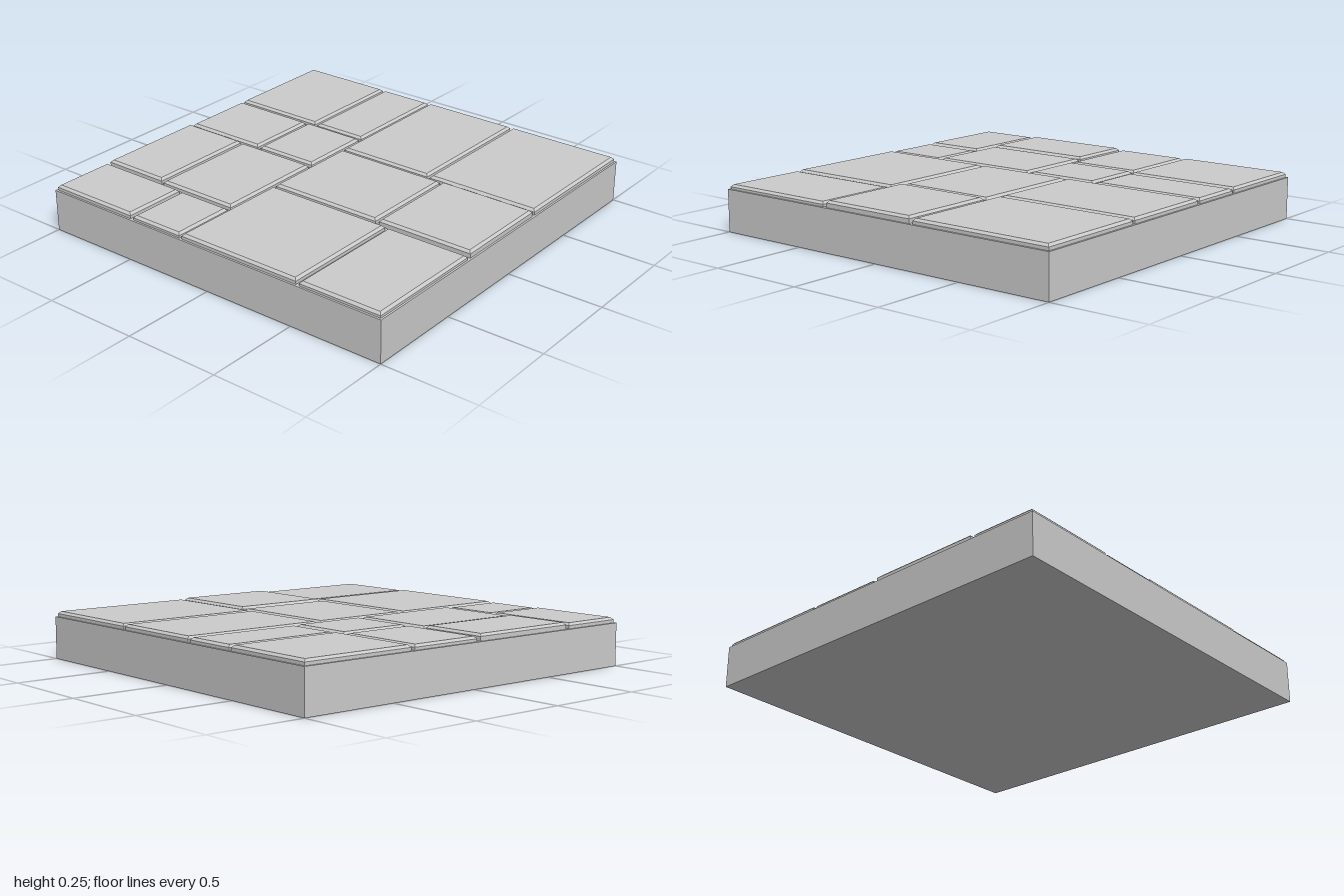
import * as THREE from 'three';

const SLAB_TOP = 0.217;
const CHAMFER = 0.012;

// Box whose upper rim is cut back by a flat chamfer
function chamferedTile(w, h, d) {
  const box = new THREE.BoxGeometry(w, h, d, 1, 2, 1);
  const p = box.attributes.position;
  for (let i = 0; i < p.count; i++) {
    const y = p.getY(i);
    if (y > h / 4) {
      p.setX(i, p.getX(i) - Math.sign(p.getX(i)) * CHAMFER);
      p.setZ(i, p.getZ(i) - Math.sign(p.getZ(i)) * CHAMFER);
    } else if (y > -h / 4) {
      p.setY(i, h / 2 - CHAMFER);
    }
  }
  const geometry = box.toNonIndexed();
  geometry.computeVertexNormals();
  return geometry;
}

export function createModel() {
  const model = new THREE.Group();
  model.name = 'pavedFloor';
  const material = new THREE.MeshStandardMaterial({ color: 0xcccccc, flatShading: true });

  // Thick base slab
  const slab = new THREE.Mesh(new THREE.BoxGeometry(2, SLAB_TOP, 2), material);
  slab.name = 'baseSlab';
  slab.position.y = SLAB_TOP / 2;
  model.add(slab);

  // Rows of paving stones: z range, then [x start, x end, top height] per stone
  const rows = [
    { z: [-0.99, -0.385], stones: [[-0.99, -0.483, 0.245], [-0.468, -0.173, 0.243]] },
    { z: [-0.365, 0.025], stones: [[-0.99, -0.533, 0.243], [-0.513, -0.173, 0.245]] },
    { z: [0.048, 0.635], stones: [[-0.99, -0.63, 0.251], [-0.617, -0.173, 0.245]] },
    { z: [0.657, 0.99], stones: [[-0.99, -0.49, 0.245], [-0.47, -0.173, 0.241]] },
    { z: [-0.99, -0.225], stones: [[-0.157, 0.365, 0.245], [0.381, 0.99, 0.245]] },
    { z: [-0.205, 0.32], stones: [[-0.157, 0.455, 0.245], [0.476, 0.99, 0.251]] },
    { z: [0.342, 0.99], stones: [[-0.157, 0.527, 0.245], [0.545, 0.99, 0.241]] },
  ];
  const paving = new THREE.Group();
  paving.name = 'pavingStones';
  for (const { z: [z0, z1], stones } of rows) {
    for (const [x0, x1, top] of stones) {
      const h = top - SLAB_TOP;
      const stone = new THREE.Mesh(chamferedTile(x1 - x0, h, z1 - z0), material);
      stone.name = 'pavingStone';
      stone.position.set((x0 + x1) / 2, SLAB_TOP + h / 2, (z0 + z1) / 2);
      paving.add(stone);
    }
  }
  model.add(paving);
  return model;
}
